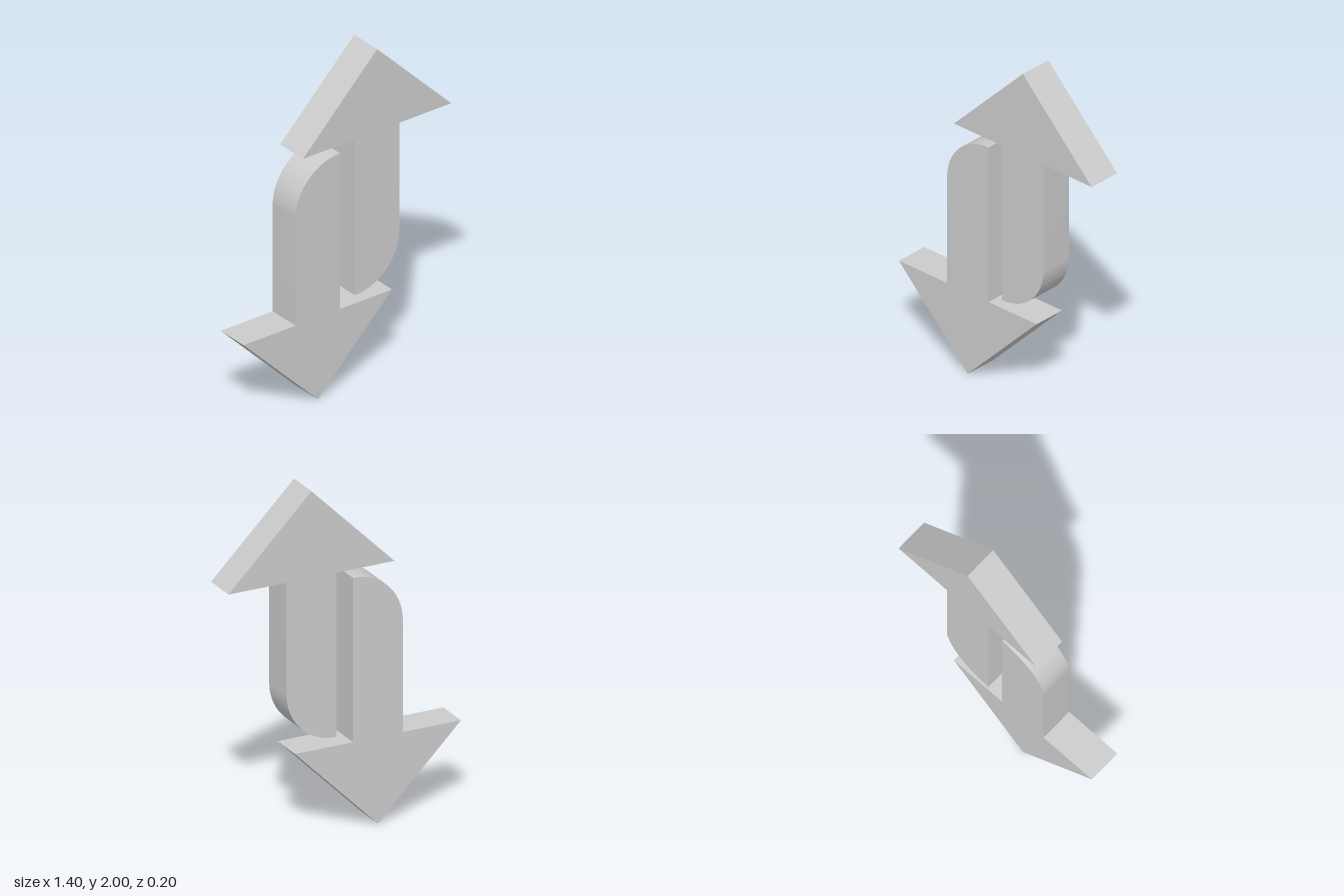
import * as THREE from 'three';
import { toCreasedNormals } from 'three/addons/utils/BufferGeometryUtils.js';

const DEPTH = 0.2;

// Arrow outline: triangular head on a shaft whose outer tail corner is a quarter circle
function arrowGeometry() {
  const s = new THREE.Shape();
  s.moveTo(0.2, 2);
  s.lineTo(-0.3, 1.5);
  s.lineTo(0.05, 1.5);
  s.lineTo(0.05, 0.55);
  s.absarc(0.05, 0.85, 0.3, -Math.PI / 2, 0, false);
  s.lineTo(0.35, 1.5);
  s.lineTo(0.7, 1.5);
  s.closePath();
  const geometry = new THREE.ExtrudeGeometry(s, { depth: DEPTH, bevelEnabled: false, curveSegments: 24 });
  geometry.translate(0, 0, -DEPTH / 2);
  return toCreasedNormals(geometry, Math.PI / 6);
}

export function createModel() {
  const group = new THREE.Group();
  group.name = 'upDownArrows';
  const geometry = arrowGeometry();
  const material = new THREE.MeshStandardMaterial({ color: 0xcccccc });

  const upArrow = new THREE.Mesh(geometry, material);
  upArrow.name = 'upArrow';

  // Same arrow turned half a circle about the centre (0, 1)
  const downArrow = new THREE.Mesh(geometry, material);
  downArrow.name = 'downArrow';
  downArrow.rotation.z = Math.PI;
  downArrow.position.y = 2;

  group.add(upArrow, downArrow);
  return group;
}
